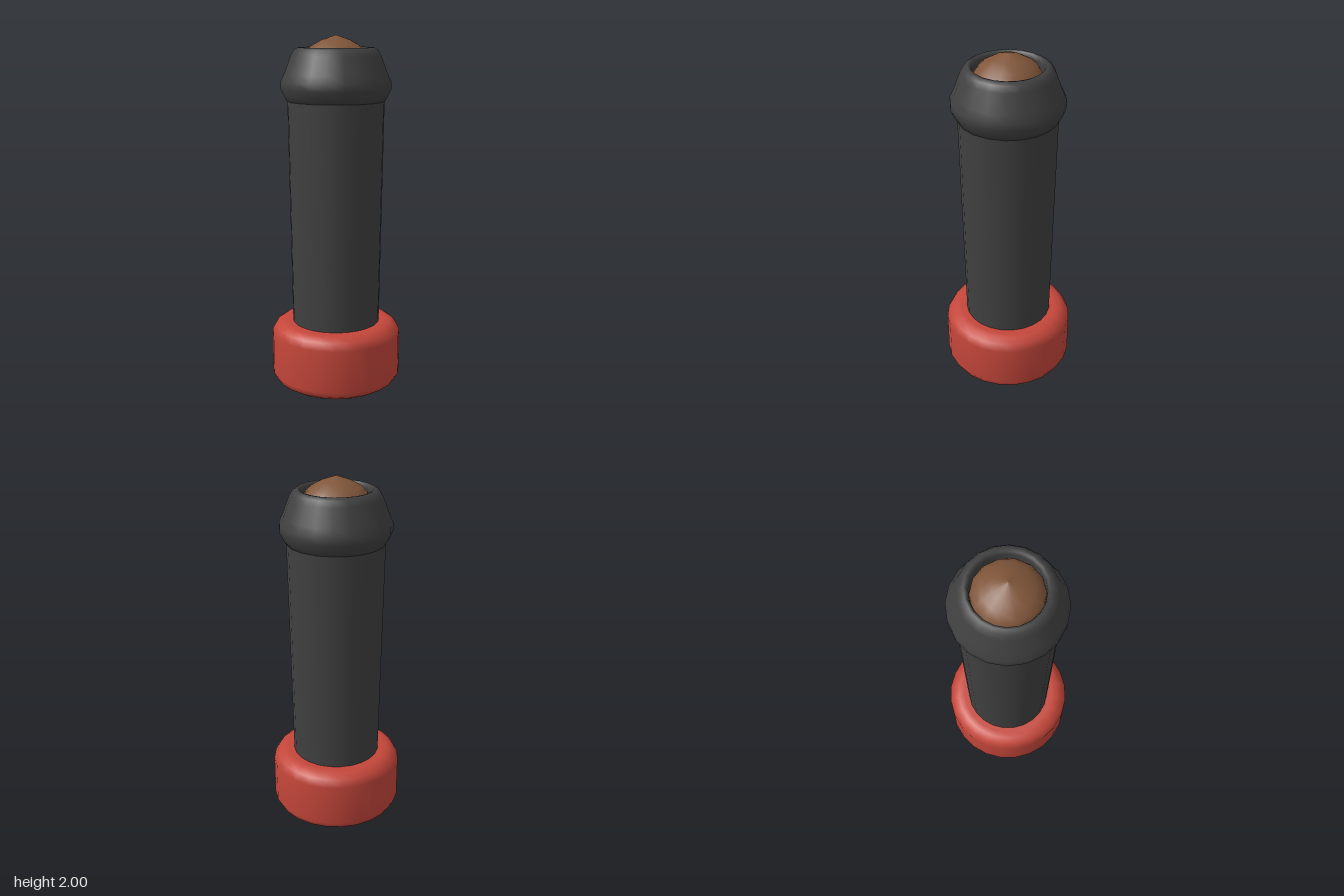
import * as THREE from 'three';

// Smooth turned part from a bottom-to-top outline of [radius, height] points
function turned(name, outline, sides, material) {
  const points = outline.map(([r, y]) => new THREE.Vector2(r, y));
  const mesh = new THREE.Mesh(new THREE.LatheGeometry(points, sides), material);
  mesh.name = name;
  return mesh;
}

export function createModel() {
  const red = new THREE.MeshStandardMaterial({ name: 'red base', color: 0xc4463a });
  const dark = new THREE.MeshStandardMaterial({ name: 'dark rubber', color: 0x404040 });
  const brown = new THREE.MeshStandardMaterial({ name: 'brown tip', color: 0x80563a });

  const model = new THREE.Group();
  model.name = 'handle';

  // Rounded foot with flat bottom and top
  model.add(turned('base', [
    [0, 0], [0.28, 0], [0.31, 0.005], [0.35, 0.03], [0.372, 0.07],
    [0.372, 0.31], [0.35, 0.35], [0.315, 0.373], [0.28, 0.375], [0, 0.375],
  ], 24, red));

  // Slightly widening shaft
  model.add(turned('shaft', [[0.25, 0.36], [0.27, 1.67]], 24, dark));

  // Flared collar, turning in over the rim to a shallow socket
  model.add(turned('collar', [
    [0.25, 1.64], [0.272, 1.642], [0.288, 1.67], [0.307, 1.71], [0.307, 1.75],
    [0.287, 1.79], [0.25, 1.89], [0.232, 1.92], [0.21, 1.933], [0.195, 1.93],
    [0.187, 1.91], [0.185, 1.85],
  ], 20, dark));

  // Domed tip seated in the socket
  model.add(turned('tip', [
    [0.186, 1.85], [0.184, 1.88], [0.168, 1.91], [0.135, 1.942], [0.08, 1.973], [0, 2],
  ], 14, brown));

  return model;
}
